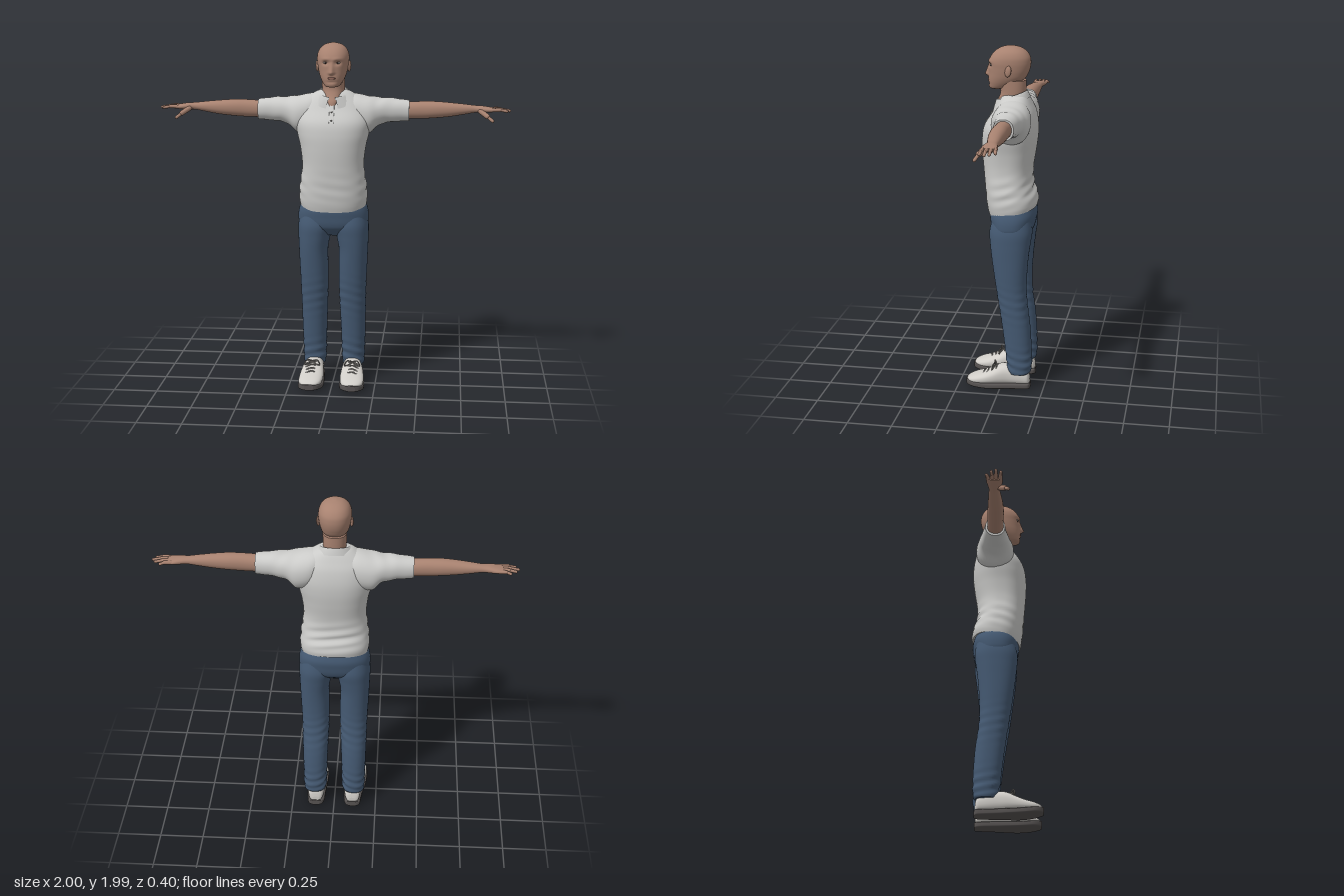
import * as THREE from 'three';

const mat = (name, color, side = THREE.FrontSide) => {
  const m = new THREE.MeshStandardMaterial({ color, side });
  m.name = name;
  return m;
};
const M = {
  skin: mat('skin', 0xa88270),
  lips: mat('lips', 0x8f655a),
  shirt: mat('shirt', 0xcbcbc9),
  collar: mat('collar', 0xc6c6c4, THREE.DoubleSide),
  pants: mat('denim', 0x455a73),
  shoe: mat('shoe', 0xd0cdc8),
  sole: mat('sole', 0x575352),
  lace: mat('lace', 0x8b8884),
  eye: mat('eyeWhite', 0xb5aaa4),
  iris: mat('iris', 0x3a2e2a),
};

const catmull = (a, b, c, d, t) =>
  b + 0.5 * t * (c - a + t * (2 * a - 5 * b + 4 * c - d + t * (3 * (b - c) + d - a)));

// e1 and e2 span the cross-section, e1 = axis x e2
const AXES = { x: [0, 2, 1], y: [1, 0, 2], z: [2, 1, 0] };

// Smooth capped skin over sections [t, e1min, e1max, e2min, e2max]
function loft(axis, sections, { n = 40, steps = 5, power = 2.2, warp } = {}) {
  const [k, e1, e2] = AXES[axis];
  const rows = [];
  const S = i => sections[Math.min(Math.max(i, 0), sections.length - 1)];
  for (let i = 0; i < sections.length - 1; i++)
    for (let s = 0; s < steps; s++)
      rows.push(S(i).map((_, c) => catmull(S(i - 1)[c], S(i)[c], S(i + 1)[c], S(i + 2)[c], s / steps)));
  rows.push(S(sections.length));
  const rings = [[rows[0], 0], [rows[0], 1], ...rows.map(r => [r, 1]),
    [rows[rows.length - 1], 1], [rows[rows.length - 1], 0]];
  const pos = [], idx = [];
  const bend = v => Math.sign(v) * Math.abs(v) ** (2 / power);
  for (const [[t, a0, a1, b0, b1], scale] of rings)
    for (let j = 0; j < n; j++) {
      const a = (j / n) * Math.PI * 2, p = [0, 0, 0];
      p[k] = t;
      p[e1] = (a0 + a1) / 2 + bend(Math.cos(a)) * scale * (a1 - a0) / 2;
      p[e2] = (b0 + b1) / 2 + bend(Math.sin(a)) * scale * (b1 - b0) / 2;
      if (warp) warp(p);
      pos.push(...p);
    }
  for (let i = 0; i < rings.length - 1; i++)
    for (let j = 0; j < n; j++) {
      const a = i * n + j, b = i * n + (j + 1) % n;
      idx.push(a, a + n, b, b, a + n, b + n);
    }
  const g = new THREE.BufferGeometry();
  g.setAttribute('position', new THREE.Float32BufferAttribute(pos, 3));
  g.setIndex(idx);
  g.computeVertexNormals();
  return g;
}

const sym = rows => rows.map(([y, h, front, back]) => [y, -h, h, back, front]);
const bump = (v, c, w) => Math.exp(-(((v - c) / w) ** 2));

function mirrorX(geo) {
  const g = geo.clone().scale(-1, 1, 1), ix = g.index.array;
  for (let i = 0; i < ix.length; i += 3) [ix[i], ix[i + 1]] = [ix[i + 1], ix[i]];
  return g;
}

const ball = (x, y, z, sx, sy, sz) => new THREE.SphereGeometry(1, 20, 14).scale(sx, sy, sz).translate(x, y, z);

function capsule(a, b, r) {
  const A = new THREE.Vector3(...a), B = new THREE.Vector3(...b), d = B.clone().sub(A);
  const q = new THREE.Quaternion().setFromUnitVectors(new THREE.Vector3(0, 1, 0), d.clone().normalize());
  const mid = A.add(B).multiplyScalar(0.5);
  return new THREE.CapsuleGeometry(r, d.length(), 5, 12).applyQuaternion(q).translate(mid.x, mid.y, mid.z);
}

const tube = (pts, r) =>
  new THREE.TubeGeometry(new THREE.CatmullRomCurve3(pts.map(p => new THREE.Vector3(...p))), 14, r, 6);

export function createModel() {
  const model = new THREE.Group();
  const add = (name, geo, m) => {
    const mesh = new THREE.Mesh(geo, m);
    mesh.name = name;
    model.add(mesh);
  };
  const pair = (name, geo, m) => {
    add(name + 'Left', geo, m);
    add(name + 'Right', mirrorX(geo), m);
  };

  // Head with nose, brow and eye sockets
  add('head', loft('y', sym([
    [1.748, 0.025, 0.07, 0.02], [1.755, 0.042, 0.083, -0.02], [1.78, 0.06, 0.088, -0.075],
    [1.81, 0.074, 0.088, -0.118], [1.84, 0.082, 0.086, -0.136], [1.87, 0.087, 0.086, -0.146],
    [1.9, 0.09, 0.086, -0.149], [1.93, 0.087, 0.075, -0.144], [1.96, 0.072, 0.05, -0.123],
    [1.981, 0.044, 0.014, -0.088], [1.99, 0.008, -0.025, -0.045]]), {
    n: 96, steps: 6, warp: p => {
      if (p[2] < 0.02) return;
      const x = Math.abs(p[0]), y = p[1];
      const ridge = y > 1.828 ? Math.max(0, (1.89 - y) / 0.062) : Math.max(0, 1 - (1.828 - y) / 0.014);
      p[2] += 0.024 * ridge * bump(x, 0, 0.009 + 0.006 * ridge)
        - 0.013 * bump(x, 0.034, 0.018) * bump(y, 1.884, 0.012)
        + 0.004 * bump(x, 0.03, 0.03) * bump(y, 1.905, 0.009)
        - 0.005 * bump(x, 0, 0.03) * bump(y, 1.778, 0.008);
    } }), M.skin);
  add('neck', loft('y', sym([
    [1.62, 0.03, 0.055, -0.1], [1.66, 0.045, 0.05, -0.11], [1.7, 0.06, 0.03, -0.118],
    [1.74, 0.064, 0.02, -0.122], [1.8, 0.066, 0.03, -0.124]])), M.skin);
  pair('ear', ball(0, 0, 0, 0.009, 0.032, 0.019).rotateX(-0.2).rotateY(-0.3).translate(0.09, 1.858, -0.035), M.skin);
  pair('eye', ball(0.034, 1.884, 0.064, 0.014, 0.007, 0.01), M.eye);
  pair('iris', ball(0.034, 1.884, 0.071, 0.006, 0.006, 0.005), M.iris);
  add('lips', ball(0, 1.799, 0.084, 0.023, 0.007, 0.008), M.lips);

  // Shirt body with tilted hem and waist folds
  const torso = sym([
    [1.06, 0.188, 0.08, -0.19], [1.09, 0.194, 0.088, -0.194], [1.13, 0.195, 0.095, -0.188],
    [1.2, 0.188, 0.102, -0.168], [1.3, 0.176, 0.112, -0.165], [1.4, 0.186, 0.12, -0.18],
    [1.48, 0.204, 0.12, -0.19], [1.55, 0.214, 0.106, -0.19], [1.62, 0.2, 0.062, -0.177],
    [1.67, 0.16, 0.034, -0.156], [1.71, 0.105, 0.01, -0.135], [1.722, 0.07, -0.01, -0.12]]);
  add('shirtBody', loft('y', torso, {
    n: 64, steps: 8, power: 2.35, warp: p => {
      const [x, y, z] = p, low = Math.min(1, Math.max(0, (1.3 - y) / 0.24));
      const fold = 0.005 * Math.sin(y * 95 + x * 14 + z * 20) * bump(y, 1.19, 0.07);
      p[0] *= 1 + fold * 4;
      p[2] += z < -0.05 ? fold : -fold * 0.3;
      p[1] -= (z + 0.05) * 0.18 * low;
    } }), M.shirt);

  // Front placket and buttons
  add('placket', loft('y', torso.slice(7, 10).map(([y, , , , f]) => [y, -0.014, 0.014, f - 0.02, f + 0.004]),
    { power: 5 }), M.shirt);
  for (const [y, z] of [[1.565, 0.102], [1.61, 0.074]])
    add('button', ball(0, y, z, 0.005, 0.005, 0.005), M.lace);

  // Folded collar, open at the front
  const collar = new THREE.PlaneGeometry(1, 1, 60, 10), cp = collar.attributes.position;
  for (let i = 0; i < cp.count; i++) {
    const a = (cp.getX(i) * 2) * (Math.PI - 0.22), v = 0.5 - cp.getY(i);
    const f = (1 - Math.cos(a)) / 2, top = 1.746 - 0.052 * f;
    const out = Math.max(0, v - 0.25) / 0.75, inner = Math.max(0, 0.25 - v) * 0.12;
    const drop = out * (0.04 + 0.028 * f ** 4) + inner;
    const r = out ** 0.8;
    cp.setXYZ(i, Math.sin(a) * (0.078 + 0.037 * r) * (1 + 0.35 * out * f ** 6),
      top - drop, -0.042 - Math.cos(a) * (0.084 + 0.02 * r));
  }
  collar.computeVertexNormals();
  add('collar', collar, M.collar);

  // Short sleeves and shoulders
  pair('sleeve', loft('x', [
    [0.05, -0.13, 0, 1.56, 1.7], [0.12, -0.168, 0.035, 1.5, 1.702], [0.2, -0.172, 0.042, 1.475, 1.688],
    [0.26, -0.156, 0.02, 1.525, 1.68], [0.34, -0.137, 0, 1.542, 1.676], [0.43, -0.122, -0.011, 1.548, 1.665]],
  { warp: p => { p[1] += 0.0025 * Math.sin(p[0] * 70 + p[2] * 30) * bump(p[0], 0.28, 0.1); } }), M.shirt);

  // Arm tapering to the wrist and widening into the palm
  pair('arm', loft('x', [
    [0.4, -0.112, -0.02, 1.56, 1.654], [0.5, -0.11, -0.021, 1.562, 1.66], [0.58, -0.111, -0.02, 1.567, 1.66],
    [0.66, -0.108, -0.026, 1.575, 1.654], [0.74, -0.106, -0.037, 1.588, 1.646], [0.8, -0.104, -0.045, 1.598, 1.639],
    [0.84, -0.11, -0.036, 1.598, 1.637], [0.88, -0.118, -0.03, 1.6, 1.631], [0.91, -0.114, -0.035, 1.604, 1.626]]), M.skin);

  // Fingers: knuckle z, tip x, tip z
  for (const [z, tx, tz] of [[-0.107, 0.948, -0.117], [-0.086, 0.978, -0.092], [-0.065, 0.992, -0.068], [-0.043, 0.976, -0.042]]) {
    const mx = (0.9 + tx) / 2, mz = (z + tz) / 2;
    pair('fingerBase', capsule([0.885, 1.616, z], [mx, 1.618, mz], 0.0105), M.skin);
    pair('fingerTip', capsule([mx, 1.618, mz], [tx, 1.611, tz], 0.0085), M.skin);
  }
  pair('thumbBase', capsule([0.83, 1.608, -0.045], [0.868, 1.583, -0.018], 0.0145), M.skin);
  pair('thumbTip', capsule([0.868, 1.583, -0.018], [0.897, 1.56, -0.002], 0.0095), M.skin);

  // Trousers
  add('hips', loft('y', sym([
    [0.89, 0.08, 0.01, -0.11], [0.93, 0.17, 0.052, -0.158], [0.96, 0.198, 0.066, -0.175],
    [1.0, 0.203, 0.072, -0.184], [1.04, 0.198, 0.076, -0.19], [1.08, 0.184, 0.07, -0.182],
    [1.12, 0.17, 0.06, -0.17]]), { n: 56, power: 2.4 }), M.pants);
  pair('trouserLeg', loft('y', [
    [0.095, 0.052, 0.176, -0.165, -0.047], [0.12, 0.048, 0.18, -0.178, -0.04], [0.2, 0.045, 0.182, -0.18, -0.03],
    [0.3, 0.042, 0.185, -0.176, -0.018], [0.4, 0.038, 0.187, -0.168, -0.005], [0.5, 0.034, 0.189, -0.154, 0.01],
    [0.6, 0.031, 0.191, -0.147, 0.026], [0.7, 0.031, 0.196, -0.15, 0.04], [0.8, 0.032, 0.2, -0.158, 0.053],
    [0.88, 0.018, 0.203, -0.168, 0.062], [0.95, 0.004, 0.203, -0.177, 0.066], [1.02, 0.02, 0.19, -0.168, 0.05]], {
    n: 44, steps: 8, warp: p => {
      const [x, y, z] = p, w = bump(y, 0.17, 0.07) + 0.5 * bump(y, 0.52, 0.09);
      const s = 0.003 * w * Math.sin(y * 120 + x * 30 - z * 25);
      p[0] += s * Math.sign(x - 0.115);
      p[2] += s * Math.sign(z + 0.09);
    } }), M.pants);

  // Shoes: upper, sole and laces
  const upper = [
    [-0.168, 0.03, 0.06, 0.09, 0.13], [-0.158, 0.022, 0.1, 0.072, 0.15], [-0.12, 0.02, 0.122, 0.062, 0.157],
    [-0.05, 0.02, 0.138, 0.058, 0.166], [0, 0.02, 0.136, 0.054, 0.176], [0.05, 0.02, 0.112, 0.05, 0.184],
    [0.1, 0.02, 0.09, 0.05, 0.188], [0.15, 0.022, 0.074, 0.058, 0.185], [0.183, 0.028, 0.06, 0.078, 0.167],
    [0.196, 0.035, 0.05, 0.1, 0.143]];
  pair('shoe', loft('z', upper, { power: 2.4 }), M.shoe);
  pair('sole', loft('z', upper.map(([z, , , a, b]) => {
    const lift = 0.014 * Math.max(0, (z - 0.08) / 0.12);
    return [z * 1.025, lift, 0.034 + lift, a - 0.004, b + 0.004];
  }), { power: 5 }), M.sole);
  for (const [z, y] of [[0.02, 0.13], [0.045, 0.117], [0.07, 0.105], [0.095, 0.094]])
    pair('lace', tube([[0.082, y - 0.012, z - 0.006], [0.118, y + 0.003, z], [0.154, y - 0.012, z + 0.006]], 0.004), M.lace);
  for (const s of [-1, 1])
    pair('laceBow', tube([[0.117, 0.135, 0.025], [0.117 + s * 0.03, 0.145, 0.04], [0.117 + s * 0.045, 0.118, 0.045],
      [0.117 + s * 0.02, 0.122, 0.04], [0.117, 0.132, 0.025]], 0.004), M.lace);

  return model;
}
